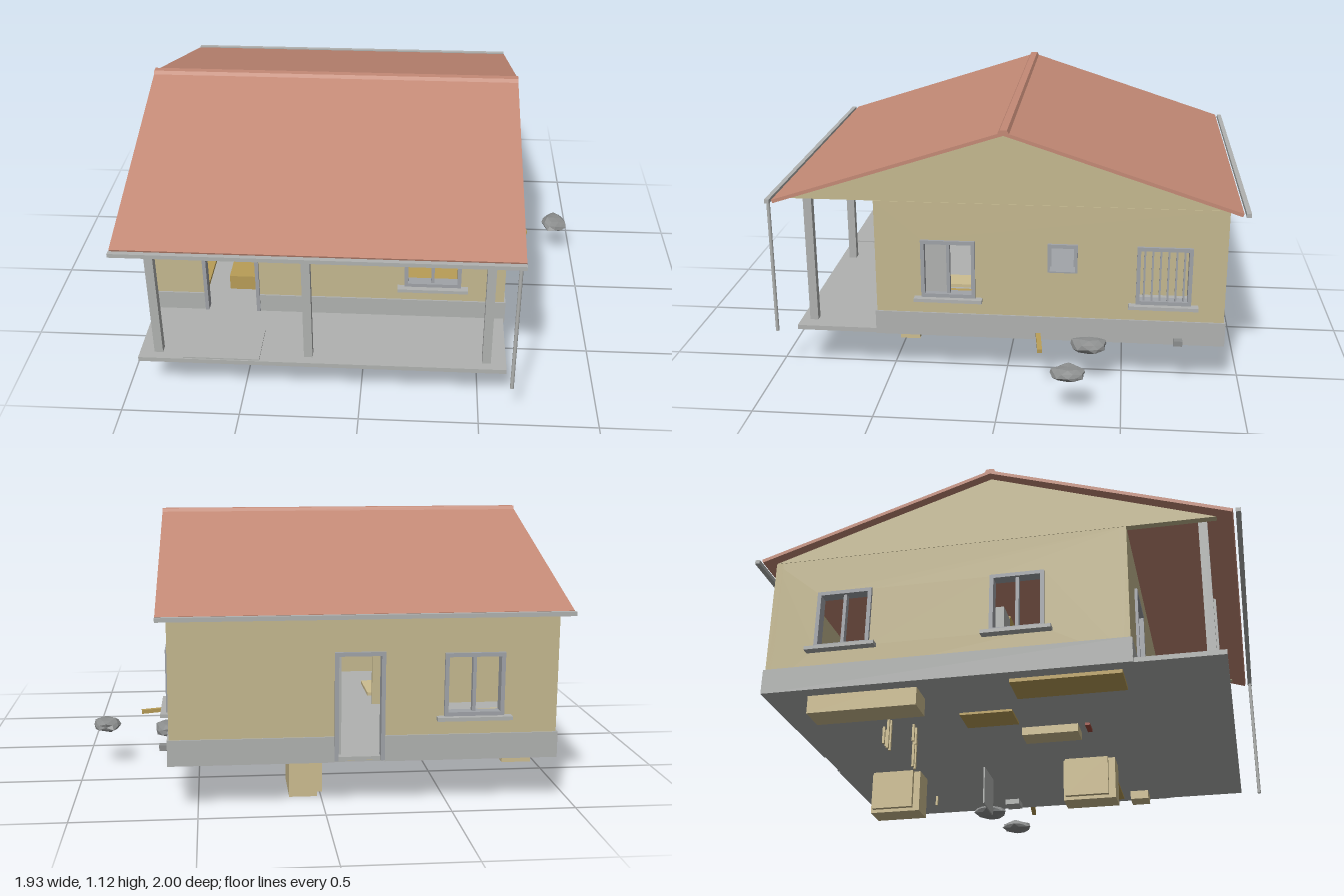
import * as THREE from 'three';

const mat = (name, color) => {
  const m = new THREE.MeshStandardMaterial({ color });
  m.name = name;
  return m;
};

export function createModel() {
  const M = {
    wall: mat('tan plaster', 0xc4b88f),
    grey: mat('concrete grey', 0xb0b2b0),
    frame: mat('frame grey', 0xa0a3a8),
    roof: mat('terracotta', 0xc48a76),
    wood: mat('ochre wood', 0xb89d57),
    cream: mat('cream', 0xcdbd90),
    rock: mat('stone grey', 0x8c8e8e),
    red: mat('dull red', 0x9c4a3c),
  };
  const model = new THREE.Group();
  model.name = 'house';

  const add = (parent, name, geo, material) => {
    const m = new THREE.Mesh(geo, material);
    m.name = name;
    parent.add(m);
    return m;
  };
  // Box from its min and max on each axis
  const box = (parent, name, material, x0, x1, y0, y1, z0, z1) => {
    const m = add(parent, name, new THREE.BoxGeometry(x1 - x0, y1 - y0, z1 - z0), material);
    m.position.set((x0 + x1) / 2, (y0 + y1) / 2, (z0 + z1) / 2);
    return m;
  };
  // Profile of [z, y] points swept along x
  const prism = (name, material, pts, x0, x1) => {
    const shape = new THREE.Shape(pts.map(([z, y]) => new THREE.Vector2(-z, y)));
    const geo = new THREE.ExtrudeGeometry(shape, { depth: x1 - x0, bevelEnabled: false });
    geo.rotateY(Math.PI / 2).translate(x0, 0, 0);
    return add(model, name, geo, material);
  };

  const Y0 = 0.2, TOP = 0.795, T = 0.03;

  // Frame around an opening, proud of the wall
  const surround = (g, o, sides) => {
    const f = 0.016, z0 = -T - 0.004, z1 = 0.012;
    box(g, 'jamb', M.frame, o.a, o.a + f, o.y0, o.y1, z0, z1);
    box(g, 'jamb', M.frame, o.b - f, o.b, o.y0, o.y1, z0, z1);
    box(g, 'frameTop', M.frame, o.a, o.b, o.y1 - f, o.y1, z0, z1);
    if (sides === 4) box(g, 'frameBottom', M.frame, o.a, o.b, o.y0, o.y0 + f, z0, z1);
  };

  // Wall in its own frame: x along the wall, +z outward, outer face at z = 0
  const wall = (name, x, z, turn, a, b, openings) => {
    const g = new THREE.Group();
    g.name = name;
    g.position.set(x, 0, z);
    g.rotation.y = turn;
    model.add(g);
    const rect = (P, o) => new P([[o.a, o.y0], [o.b, o.y0], [o.b, o.y1], [o.a, o.y1]]
      .map(([u, v]) => new THREE.Vector2(u, v)));
    const shape = rect(THREE.Shape, { a, b, y0: Y0, y1: TOP });
    openings.forEach(o => shape.holes.push(rect(THREE.Path, o)));
    const geo = new THREE.ExtrudeGeometry(shape, { depth: T, bevelEnabled: false });
    add(g, 'wallPanel', geo.translate(0, 0, -T), M.wall);

    // Plinth, broken at doors
    let start = a - 0.006;
    openings.filter(o => o.type === 'door').forEach(o => {
      box(g, 'plinth', M.grey, start, o.a, 0.195, 0.3, -0.005, 0.007);
      start = o.b;
    });
    box(g, 'plinth', M.grey, start, b + 0.006, 0.195, 0.3, -0.005, 0.007);

    openings.forEach(o => {
      surround(g, o, o.type === 'door' ? 3 : 4);
      const mid = (o.a + o.b) / 2;
      if (o.type === 'door' || o.type === 'vent') return;
      box(g, 'sill', M.grey, o.a - 0.03, o.b + 0.03, 0.36, 0.375, -T, 0.035);
      if (o.type === 'bars') {
        for (let i = 1; i < 7; i++) {
          const u = o.a + (o.b - o.a) * i / 7;
          box(g, 'bar', M.frame, u - 0.004, u + 0.004, o.y0, o.y1, -0.005, 0.004);
        }
      } else {
        box(g, 'mullion', M.frame, mid - 0.007, mid + 0.007, o.y0, o.y1, -0.025, 0);
      }
    });
    return g;
  };
  const win = (a, b, type = 'window') => ({ a, b, y0: 0.375, y1: 0.63, type });
  const door = (a, b) => ({ a, b, y0: 0.201, y1: 0.64, type: 'door' });
  const H = Math.PI / 2;

  wall('frontWall', 0, 0.55, 0, -0.93, 0.61, [door(-0.705, -0.46), win(0.175, 0.42)]);
  const back = wall('backWall', 0, -0.92, Math.PI, -0.61, 0.93, [door(0.04, 0.24), win(0.475, 0.715)]);
  const right = wall('rightWall', 0.61, 0, H, -0.55, 0.92, [
    win(-0.355, -0.125), { a: 0.18, b: 0.305, y0: 0.505, y1: 0.63, type: 'vent' }, win(0.55, 0.78, 'bars')]);
  wall('leftWall', -0.93, 0, -H, -0.92, 0.55, [win(-0.72, -0.49), win(0.0, 0.22)]);

  // Closed sash, tilted vent pane and open back door
  box(right, 'sash', M.grey, -0.34, -0.245, 0.39, 0.615, -0.024, -0.016);
  const pane = box(right, 'ventPane', M.frame, 0.19, 0.295, 0.51, 0.62, -0.004, 0.004);
  pane.rotation.x = -0.25;
  box(back, 'openDoor', M.grey, 0.055, 0.07, 0.215, 0.62, -0.2, -0.03);

  // Floor and porch
  box(model, 'floorSlab', M.grey, -0.93, 0.61, 0.195, 0.215, -0.92, 0.905);
  box(model, 'doorstep', M.grey, -0.74, -0.42, 0.215, 0.221, 0.7, 0.9);
  [-0.85, -0.217, 0.528].forEach(x =>
    box(model, 'porchPost', M.grey, x - 0.018, x + 0.018, 0.215, 0.82, 0.83, 0.866));

  // Gables and roof
  for (const x of [-0.93, 0.58]) {
    prism('gable', M.wall, [[0.905, 0.796], [-0.92, 0.796], [-0.01, 1.1]], x, x + T);
  }
  for (const s of [1, -1]) {
    const pts = [[0, 1.098], [s * 0.965, 0.785], [s * 0.97, 0.799], [0, 1.113]];
    prism('roofSlope', M.roof, pts, -0.97, 0.65);
    const z = s * 0.99;
    box(model, 'gutter', M.grey, -0.97, 0.65, 0.783, 0.8, z - 0.01, z + 0.01);
  }
  prism('ridgeCap', M.roof, [[0.025, 1.103], [0.015, 1.12], [-0.015, 1.12], [-0.025, 1.103]], -0.97, 0.65);
  const pipe = add(model, 'downpipe', new THREE.CylinderGeometry(0.008, 0.008, 0.59, 10), M.grey);
  pipe.position.set(0.628, 0.49, 0.99);

  // Interior partitions and furniture
  box(model, 'partition', M.wall, -0.9, -0.3, 0.215, 0.79, -0.14, -0.12);
  box(model, 'partition', M.wall, 0.0, 0.58, 0.215, 0.79, -0.14, -0.12);
  box(model, 'partition', M.wall, 0.12, 0.14, 0.215, 0.79, -0.89, -0.14);
  box(model, 'tallCabinet', M.grey, -0.68, -0.56, 0.215, 0.63, -0.11, 0.0);
  box(model, 'woodCabinet', M.wood, -0.56, -0.4, 0.37, 0.65, -0.11, 0.0);
  box(model, 'wardrobe', M.wood, 0.17, 0.29, 0.215, 0.65, -0.11, 0.0);
  box(model, 'sofaSeat', M.wood, -0.62, -0.44, 0.215, 0.285, 0.1, 0.4);
  box(model, 'sofaBack', M.wood, -0.6, -0.46, 0.285, 0.37, 0.1, 0.17);

  // Pieces sunk through the floor
  for (const [z0, z1] of [[0.125, 0.36], [-0.78, -0.55]]) {
    box(model, 'sunkenCupboard', M.cream, 0.015, 0.13, 0.005, 0.23, z0, z1);
    box(model, 'cupboardDoor', M.cream, -0.005, 0.015, 0.02, 0.2, z0 + 0.01, z1 - 0.03);
  }
  box(model, 'sunkenPanel', M.grey, 0.02, 0.195, 0.02, 0.2, -0.249, -0.243);
  box(model, 'sunkenBench', M.cream, -0.88, -0.76, 0.12, 0.23, -0.75, -0.3);
  box(model, 'sunkenStool', M.cream, 0.48, 0.57, 0.155, 0.23, 0.375, 0.46);
  box(model, 'sunkenBox', M.cream, -0.4, -0.3, 0.16, 0.23, 0.02, 0.26);
  box(model, 'sunkenBase', M.wood, 0.18, 0.56, 0.185, 0.23, 0.105, 0.335);
  box(model, 'sunkenBase', M.wood, -0.6, -0.46, 0.185, 0.23, -0.2, 0.02);
  box(model, 'sunkenBase', M.wood, -0.88, -0.72, 0.18, 0.23, 0.07, 0.51);
  box(model, 'sunkenBlock', M.grey, 0.48, 0.56, 0.17, 0.21, -0.25, -0.18);
  box(model, 'redStrip', M.red, -0.4, -0.32, 0.184, 0.2, 0.29, 0.31);
  const leg = (x, z, y0) => box(model, 'furnitureLeg', M.cream, x - 0.005, x + 0.005, y0, 0.22, z - 0.005, z + 0.005);
  for (const x of [-0.61, -0.58, -0.385, -0.355]) leg(x, x > -0.5 ? -0.46 : -0.5, 0.06);
  for (const x of [-0.52, -0.485]) for (const z of [-0.55, -0.42]) leg(x, z, 0.12);
  leg(0.37, -0.7, 0.15);
  leg(0.37, -0.57, 0.15);

  // Rocks and plank beside the house
  const rock = (x, y, z, rx, ry, rz, seed) => {
    const geo = new THREE.IcosahedronGeometry(1, 1);
    const p = geo.attributes.position;
    for (let i = 0; i < p.count; i++) {
      const k = 0.92 + 0.16 * Math.sin(p.getX(i) * 5 + seed) * Math.cos(p.getZ(i) * 4 + p.getY(i) * 3 + seed);
      p.setXYZ(i, p.getX(i) * rx * k, p.getY(i) * ry * k, p.getZ(i) * rz * k);
    }
    geo.computeVertexNormals();
    add(model, 'rock', geo, M.rock).position.set(x, y, z);
  };
  rock(0.905, 0.19, -0.285, 0.063, 0.032, 0.078, 1);
  rock(0.62, 0.185, -0.36, 0.075, 0.038, 0.085, 4);
  const plank = box(model, 'plank', M.wood, 0.6, 0.76, 0.205, 0.222, -0.16, -0.14);
  plank.rotation.set(0, 0.12, -0.05);
  box(model, 'pebble', M.rock, 0.625, 0.655, 0.205, 0.228, -0.75, -0.715);

  return model;
}
